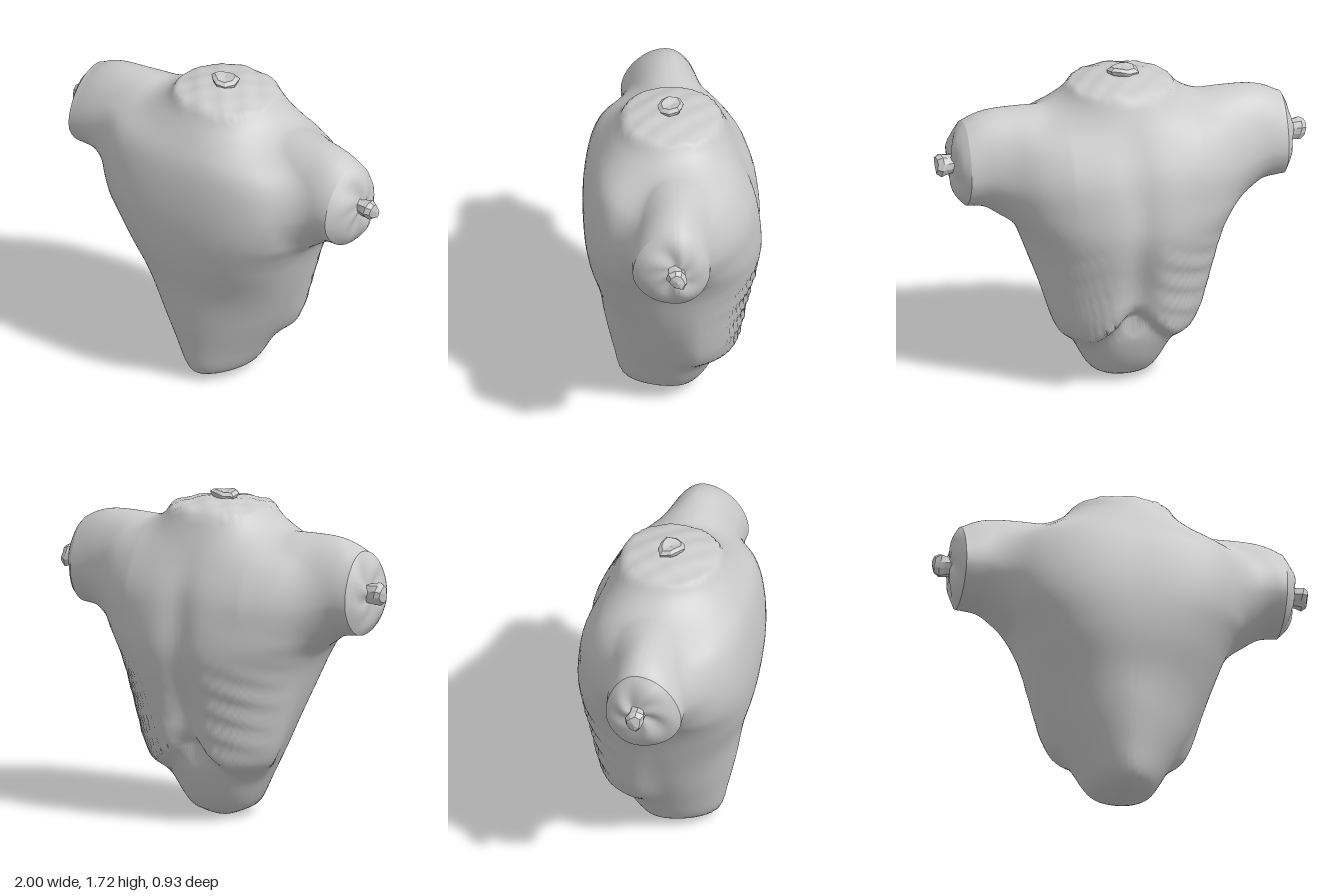
import * as THREE from 'three';
import { toCreasedNormals } from 'three/addons/utils/BufferGeometryUtils.js';

const { smoothstep, lerp } = THREE.MathUtils;
const material = new THREE.MeshStandardMaterial({ color: 0xcccccc });
const flatMaterial = new THREE.MeshStandardMaterial({ color: 0xcccccc, flatShading: true });
const AROUND = 104, LEFT_END = 0.845, RIGHT_END = -0.865;

// Smooth curve through [position, value] pairs, clamped at both ends.
function curve(p) {
  const n = p.length - 1;
  const slope = (i) => {
    const a = p[Math.max(i - 1, 0)], b = p[Math.min(i + 1, n)];
    return (b[1] - a[1]) / (b[0] - a[0]);
  };
  return (t) => {
    if (t <= p[0][0]) return p[0][1];
    if (t >= p[n][0]) return p[n][1];
    let i = 0;
    while (t > p[i + 1][0]) i++;
    const d = p[i + 1][0] - p[i][0], u = (t - p[i][0]) / d, u2 = u * u, u3 = u2 * u;
    return (2 * u3 - 3 * u2 + 1) * p[i][1] + (u3 - 2 * u2 + u) * d * slope(i)
      + (3 * u2 - 2 * u3) * p[i + 1][1] + (u3 - u2) * d * slope(i + 1);
  };
}

// Trunk outline by height
const ribWidth = curve([[0, 0.04], [0.02, 0.1], [0.05, 0.16], [0.1, 0.2], [0.2, 0.26], [0.26, 0.32], [0.31, 0.375],
  [0.4, 0.42], [0.6, 0.475], [0.8, 0.53], [0.9, 0.575], [1.0, 0.63], [1.2, 0.67], [1.38, 0.6], [1.5, 0.41],
  [1.58, 0.315], [1.68, 0.245]]);
const bellyWidth = curve([[0, 0.04], [0.02, 0.1], [0.05, 0.16], [0.1, 0.2], [0.2, 0.255], [0.4, 0.365], [0.6, 0.455], [0.8, 0.53]]);
const front = curve([[0, 0.16], [0.02, 0.21], [0.06, 0.262], [0.2, 0.3], [0.4, 0.345], [0.6, 0.38], [0.8, 0.435],
  [1.0, 0.46], [1.2, 0.45], [1.38, 0.41], [1.5, 0.34], [1.6, 0.275], [1.68, 0.245]]);
const ribBack = curve([[0.2, 0.335], [0.4, 0.38], [0.6, 0.415], [0.8, 0.46], [0.95, 0.478], [1.2, 0.445],
  [1.4, 0.36], [1.6, 0.275], [1.68, 0.25]]);
const bellyBack = curve([[0, 0.04], [0.05, 0.14], [0.2, 0.235], [0.45, 0.31]]);

// Arm outline by distance from the middle
const armTop = curve([[0.4, 1.54], [0.6, 1.545], [0.7, 1.54], [0.78, 1.52], [0.86, 1.48]]);
const armBottom = curve([[0.5, 0.97], [0.65, 0.98], [0.75, 1.02], [0.86, 1.035]]);
const armFront = curve([[0.5, 0.25], [0.7, 0.23], [0.86, 0.23]]);
const armBack = curve([[0.35, 0.35], [0.5, 0.29], [0.62, 0.225], [0.74, 0.185], [0.86, 0.167]]);
const middleY = curve([[0, 0.85], [0.3, 0.97], [0.45, 1.12], [0.6, 1.22], [0.86, 1.26]]);

// Signed field of the trunk: rib ledge, spine groove and ribs at the back, domed neck
function trunk(x, y, z) {
  const ax = Math.abs(x);
  const width = y < 0.8 ? lerp(ribWidth(y), bellyWidth(y), smoothstep(z, -0.14, 0.04)) : ribWidth(y);
  let depth = front(y);
  let power = lerp(1.8, 2.8, smoothstep(y, 0.4, 1.1)) - 0.7 * smoothstep(y, 1.35, 1.6);
  if (z < 0) {
    const ledge = 0.45 - 0.17 * smoothstep(ax, 0, 0.25);
    depth = lerp(bellyBack(y), ribBack(y), smoothstep(y, ledge - 0.06, ledge + 0.04));
    const ribArea = smoothstep(y, 0.32, 0.42) * (1 - smoothstep(y, 0.7, 0.95)) * smoothstep(ax, 0.05, 0.18);
    depth += 0.009 * ribArea * Math.sin((y + ax * 0.35) * 48);
    const grooveArea = smoothstep(y, 0.3, 0.45) * (1 - smoothstep(y, 1.15, 1.55));
    depth -= lerp(0.065, 0.032, smoothstep(y, 0.55, 0.95)) * grooveArea * Math.exp(-((ax / 0.095) ** 2));
    power = 2.2;
  }
  const r = ((ax / width) ** power + (Math.abs(z) / depth) ** power) ** (1 / power);
  const neck = 1.683 - 0.6 * (x * x + z * z) + 0.005 * Math.sin(x * 40 + 1) * Math.sin(z * 35);
  return Math.max((r - 1) * 0.36, y - neck, -y);
}

// Signed field of the arms, narrower towards the top
function arm(x, y, z) {
  const ax = Math.abs(x), top = armTop(ax), bottom = armBottom(ax);
  const dy = (y - (top + bottom) / 2) / ((top - bottom) / 2);
  const taper = 1 - 0.14 * THREE.MathUtils.clamp(dy, -0.3, 1);
  const dz = z / ((z > 0 ? armFront(ax) : armBack(ax)) * taper);
  return (Math.hypot(dy, dz) - 1) * 0.22;
}

// Trunk and arms flow into each other
function field(x, y, z) {
  const a = trunk(x, y, z), b = arm(x, y, z), k = 0.08;
  const h = Math.max(k - Math.abs(a - b), 0) / k;
  return Math.min(a, b) - h * h * k / 4;
}

// Point where a ray from the middle of the section at x meets the skin
function skinPoint(x, angle) {
  const u = Math.abs(x) / 0.86, cy = middleY(Math.abs(x)), cz = 0.02;
  const dy = Math.sin(angle) * lerp(0.85, 0.23, u), dz = Math.cos(angle) * lerp(0.4, 0.21, u);
  let lo = 0, hi = 1.8;
  for (let i = 0; i < 24; i++) {
    const mid = (lo + hi) / 2;
    if (field(x, cy + dy * mid, cz + dz * mid) < 0) lo = mid; else hi = mid;
  }
  return [x, cy + dy * lo, cz + dz * lo];
}

// Closed rings of points joined into one surface
function ringMesh(name, rings, point, crease) {
  const positions = [], index = [];
  for (let i = 0; i <= rings; i++)
    for (let j = 0; j < AROUND; j++) positions.push(...point(i, (j / AROUND) * Math.PI * 2));
  for (let i = 0; i < rings; i++)
    for (let j = 0; j < AROUND; j++) {
      const a = i * AROUND + j, b = i * AROUND + (j + 1) % AROUND;
      index.push(a, a + AROUND, b, b, a + AROUND, b + AROUND);
    }
  const geometry = new THREE.BufferGeometry();
  geometry.setAttribute('position', new THREE.Float32BufferAttribute(positions, 3));
  geometry.setIndex(index);
  const mesh = new THREE.Mesh(toCreasedNormals(geometry, crease), material);
  mesh.name = name;
  return mesh;
}

// Uneven cut surface at the end of an arm
function armCap(side) {
  const rings = 8, end = side > 0 ? LEFT_END : -RIGHT_END;
  return ringMesh(side > 0 ? 'leftArmCut' : 'rightArmCut', rings, (i, angle) => {
    const r = side > 0 ? 1 - i / rings : i / rings;
    const [, y, z] = skinPoint(side * end, angle);
    const folds = Math.sin(Math.PI * r)
      * (Math.sin(angle * 3 + side) * 0.5 + Math.sin(angle * 5 + side * 2 + r * 5) * 0.4);
    const x = end + (0.91 - end) * (1 - r ** 4) + 0.014 * folds;
    return [side * x, lerp(1.26, y, r), lerp(0.01, z, r)];
  }, 0.6);
}

// Knobbly bone end along +y
function bone(name, profile, seed) {
  const geometry = new THREE.LatheGeometry(profile.map(([r, y]) => new THREE.Vector2(r, y)), 9);
  const p = geometry.attributes.position;
  for (let i = 0; i < p.count; i++) {
    const x = p.getX(i), y = p.getY(i), z = p.getZ(i), a = Math.atan2(z, x);
    const s = 1 + 0.14 * Math.sin(2 * a + seed) + 0.08 * Math.sin(3 * a + seed * 2 + y * 30);
    p.setXYZ(i, x * s, y + Math.hypot(x, z) * 0.12 * Math.sin(2 * a + seed * 3), z * s);
  }
  const mesh = new THREE.Mesh(geometry, flatMaterial);
  mesh.name = name;
  return mesh;
}

export function createModel() {
  const model = new THREE.Group();
  model.name = 'torso';

  // Skin of trunk, neck and arms
  const sections = 120;
  model.add(ringMesh('trunkAndArms', sections,
    (i, angle) => skinPoint(lerp(RIGHT_END, LEFT_END, i / sections), angle), 0.9));

  // Bones in the cut ends
  const neckBone = bone('neckBone', [[0.05, 0], [0.07, 0.025], [0.075, 0.04], [0.055, 0.055], [0.025, 0.05], [0, 0.045]], 1);
  neckBone.position.set(-0.01, 1.66, 0);
  model.add(neckBone);
  for (const side of [1, -1]) {
    model.add(armCap(side));
    const armBone = bone(side > 0 ? 'leftArmBone' : 'rightArmBone',
      [[0.055, 0], [0.046, 0.05], [0.05, 0.08], [0.056, 0.105], [0.04, 0.132], [0, 0.14]], side + 2);
    armBone.position.set(side * 0.86, 1.265, 0.005);
    armBone.rotation.z = -side * Math.PI / 2;
    model.add(armBone);
  }
  return model;
}
